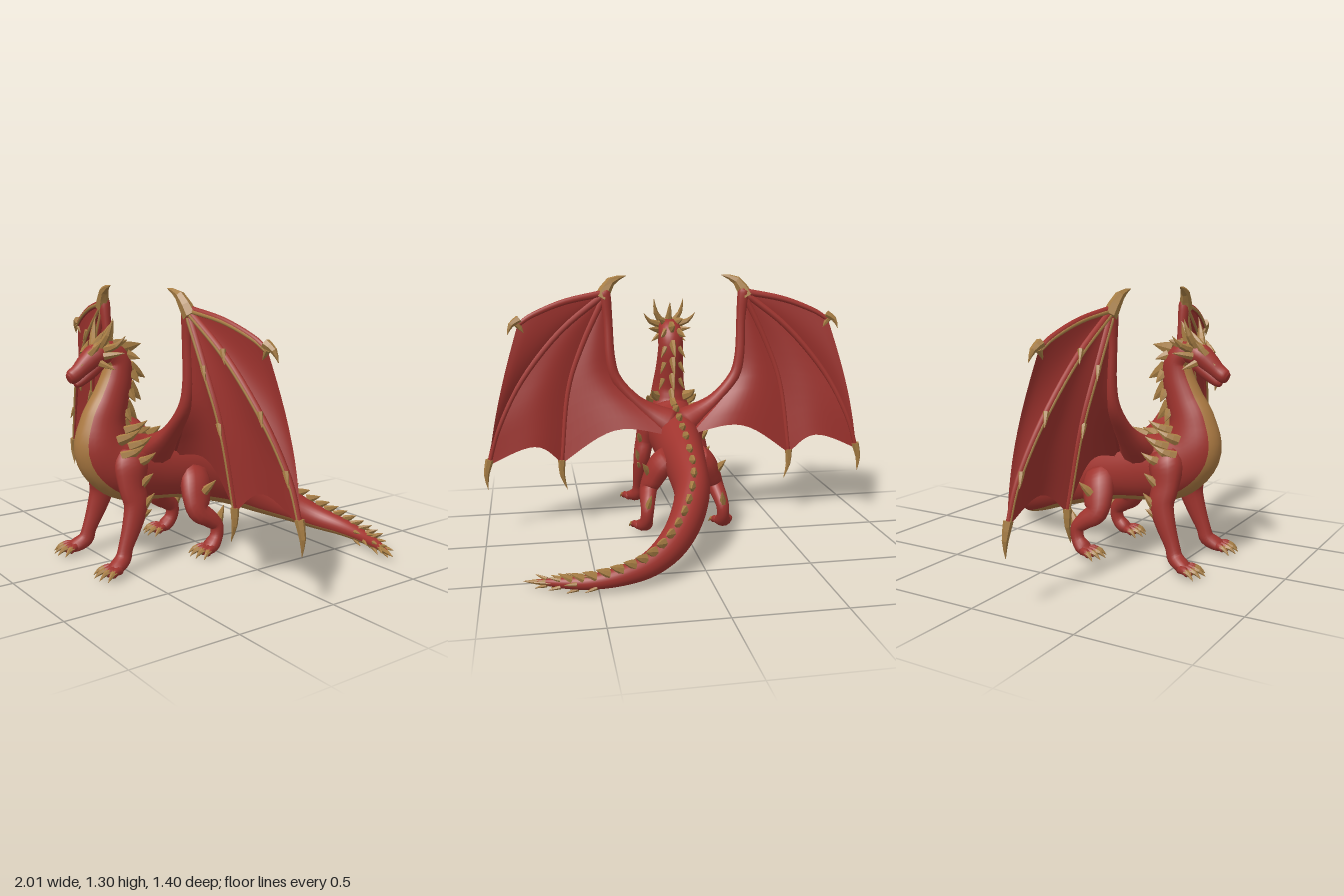
import * as THREE from 'three';
import { mergeGeometries } from 'three/addons/utils/BufferGeometryUtils.js';

const V = (x, y, z) => new THREE.Vector3(x, y, z);
const mat = (name, color, side = THREE.FrontSide) => {
  const m = new THREE.MeshStandardMaterial({ color, side });
  m.name = name;
  return m;
};

// Elliptical loft through stations [x, y, z, halfWidth, halfHeight].
// Faces within `band` segments of the underside go into material group 1.
function loft(stations, { steps = 4, segs = 12, band = 0 } = {}) {
  const path = new THREE.CatmullRomCurve3(stations.map(s => V(s[0], s[1], s[2])), false, 'catmullrom');
  const size = new THREE.CatmullRomCurve3(stations.map(s => V(s[3], s[4], 0)), false, 'catmullrom');
  const n = (stations.length - 1) * steps, frames = [], pos = [], main = [], under = [];
  let side = null;
  for (let i = 0; i <= n; i++) {
    const t = path.getTangent(i / n);
    if (!side) side = Math.abs(t.x) > 0.9 ? V(0, 0, 1) : V(1, 0, 0);
    side = side.clone().addScaledVector(t, -side.dot(t)).normalize();
    const r = size.getPoint(i / n);
    frames.push({ p: path.getPoint(i / n), t, side, up: side.clone().cross(t),
      w: Math.max(r.x, 0.0005), h: Math.max(r.y, 0.0005) });
  }
  const cap = f => ({ ...f, w: 0.0003, h: 0.0003 });
  const rings = [cap(frames[0]), ...frames, cap(frames[n])];
  rings.forEach(f => {
    for (let j = 0; j < segs; j++) {
      const a = j / segs * Math.PI * 2;
      const q = f.p.clone().addScaledVector(f.side, Math.cos(a) * f.w).addScaledVector(f.up, Math.sin(a) * f.h);
      pos.push(q.x, q.y, q.z);
    }
  });
  for (let i = 0; i < rings.length - 1; i++) {
    for (let j = 0; j < segs; j++) {
      const k = (j + 1) % segs, a = i * segs + j, b = i * segs + k;
      const list = Math.abs(j + 0.5 - segs * 0.75) < band ? under : main;
      list.push(a, a + segs, b, b, a + segs, b + segs);
    }
  }
  const g = new THREE.BufferGeometry();
  g.setAttribute('position', new THREE.Float32BufferAttribute(pos, 3));
  g.setIndex([...main, ...under]);
  if (band) {
    g.addGroup(0, main.length, 0);
    g.addGroup(main.length, under.length, 1);
  }
  g.computeVertexNormals();
  g.userData.frames = frames;
  return g;
}

// Hard-edged tapering spike, bowed by `bend` at its middle
function spike(a, b, w, h = w, bend = V(0, 0, 0)) {
  const m = a.clone().lerp(b, 0.5).add(bend);
  const g = loft([[a.x, a.y, a.z, w, h], [m.x, m.y, m.z, w * 0.65, h * 0.65], [b.x, b.y, b.z, 0.001, 0.001]],
    { steps: 2, segs: 6 }).toNonIndexed();
  g.computeVertexNormals();
  return g;
}

// Membrane between two curves that both start at the wrist, with a scalloped free edge
function panel(A, B, scallop, billow) {
  const N = 12, pos = [], idx = [];
  for (let i = 0; i <= N; i++) for (let j = 0; j <= N; j++) {
    const t = j / N, k = Math.sin(Math.PI * t), s = i / N;
    const p = A.getPoint(s).lerp(B.getPoint(s), t);
    p.lerp(A.getPoint(0), scallop * k * s);
    pos.push(p.x, p.y, p.z - billow * k * s);
    if (i < N && j < N) {
      const a = i * (N + 1) + j;
      idx.push(a, a + N + 1, a + 1, a + 1, a + N + 1, a + N + 2);
    }
  }
  const g = new THREE.BufferGeometry();
  g.setAttribute('position', new THREE.Float32BufferAttribute(pos, 3));
  g.setIndex(idx);
  g.computeVertexNormals();
  return g;
}

export function createModel() {
  const root = new THREE.Group();
  root.name = 'dragon';
  const red = mat('scaleRed', 0xa0342e), tan = mat('bellyTan', 0xac7a42);
  const horn = mat('hornGold', 0xa87e44), skin = mat('wingRed', 0x9c322d, THREE.DoubleSide);
  const add = (name, geo, m, parent = root) => {
    const mesh = new THREE.Mesh(geo, m);
    mesh.name = name;
    parent.add(mesh);
  };

  // Neck, torso and tail in one sweep, tan underneath
  const body = loft([
    [0, 0.985, 0.55, 0.05, 0.05], [0, 1.0, 0.49, 0.06, 0.055], [0, 0.955, 0.445, 0.065, 0.062],
    [0, 0.88, 0.45, 0.068, 0.075], [0, 0.78, 0.485, 0.075, 0.09], [0, 0.67, 0.525, 0.09, 0.115],
    [0, 0.55, 0.52, 0.115, 0.15], [0, 0.46, 0.42, 0.135, 0.165], [0, 0.43, 0.28, 0.125, 0.16],
    [0, 0.4, 0.13, 0.115, 0.145], [0, 0.36, -0.02, 0.1, 0.138], [0.01, 0.288, -0.22, 0.086, 0.124],
    [0.07, 0.205, -0.38, 0.078, 0.103], [0.16, 0.135, -0.51, 0.068, 0.08], [0.27, 0.085, -0.595, 0.055, 0.06],
    [0.4, 0.06, -0.643, 0.043, 0.045], [0.54, 0.045, -0.65, 0.033, 0.033],
    [0.66, 0.04, -0.625, 0.022, 0.024], [0.76, 0.04, -0.59, 0.008, 0.008],
  ], { steps: 5, segs: 28, band: 3 });
  add('body', body, [red, tan]);

  // Dorsal spikes, long on the neck, low and swept back along the tail
  const F = body.userData.frames, dorsal = [], tailSpikes = [];
  const fromBody = (f, angle, len, lean, w, h) => {
    const out = f.side.clone().multiplyScalar(Math.cos(angle) * f.w).addScaledVector(f.up, Math.sin(angle) * f.h);
    const a = f.p.clone().addScaledVector(out, 0.92);
    return spike(a, a.clone().addScaledVector(out.normalize(), len).addScaledVector(f.t, len * lean), w, h);
  };
  for (let i = 4; i < 84; i += i < 24 ? 4 : i < 50 ? 3 : 2) {
    const neck = i < 30, k = 1 - 0.45 * i / 84;
    dorsal.push(neck ? fromBody(F[i], Math.PI / 2, 0.09, 0.6, 0.018, 0.036)
      : fromBody(F[i], Math.PI / 2, 0.066 * k, 1.4, 0.026 * k, 0.042 * k));
    if (i < 24) [0.9, Math.PI - 0.9].forEach(a => dorsal.push(fromBody(F[i + 1], a, 0.045, 1, 0.014, 0.026)));
  }
  add('dorsalSpikes', mergeGeometries(dorsal), horn);

  // Spiky tail end
  for (let i = 79; i <= 88; i += 3) for (let k = 0; k < 4; k++)
    tailSpikes.push(fromBody(F[i], k * 1.571 + i * 0.26, 0.017, 3, 0.01, 0.01));
  tailSpikes.push(spike(V(0.7, 0.04, -0.612), V(0.82, 0.035, -0.565), 0.018));
  add('tailSpikes', mergeGeometries(tailSpikes), horn);

  // Head with closed lower jaw and gold crown plate
  add('head', loft([[0, 1.01, 0.5, 0.05, 0.045], [0, 0.995, 0.555, 0.06, 0.052], [0, 0.96, 0.6, 0.05, 0.048],
    [0, 0.922, 0.645, 0.038, 0.038], [0, 0.9, 0.68, 0.033, 0.034], [0, 0.892, 0.697, 0.018, 0.022]], { segs: 14 }), red);
  add('lowerJaw', loft([[0, 0.95, 0.545, 0.042, 0.034], [0, 0.91, 0.595, 0.036, 0.032],
    [0, 0.872, 0.645, 0.026, 0.022], [0, 0.862, 0.665, 0.014, 0.012]]), red);
  add('crown', loft([[0, 1.035, 0.5, 0.04, 0.025], [0, 1.025, 0.55, 0.048, 0.028], [0, 0.99, 0.6, 0.04, 0.024],
    [0, 0.958, 0.63, 0.018, 0.01]]), horn);
  const horns = [spike(V(0, 0.99, 0.61), V(0, 1.04, 0.575), 0.014, 0.02),
    spike(V(0, 1.03, 0.56), V(0, 1.1, 0.51), 0.018, 0.024), spike(V(0, 0.865, 0.64), V(0, 0.832, 0.635), 0.009)];

  for (const s of [1, -1]) {
    const label = s > 0 ? 'left' : 'right';
    const P = (x, y, z) => V(x * s, y, z);
    const L = (pts, opt) => loft(pts.map(p => [p[0] * s, ...p.slice(1)]), opt);
    const group = name => {
      const g = new THREE.Group();
      g.name = label + name;
      root.add(g);
      return g;
    };

    // Horns, cheek spikes and brows
    horns.push(
      spike(P(0.03, 1.03, 0.55), P(0.08, 1.16, 0.51), 0.02, 0.022, P(0.012, -0.01, 0)),
      spike(P(0.045, 1.02, 0.53), P(0.14, 1.085, 0.48), 0.02, 0.02, P(0.012, -0.012, 0)),
      spike(P(0.05, 0.99, 0.54), P(0.115, 1.005, 0.47), 0.018, 0.02),
      spike(P(0.045, 0.96, 0.56), P(0.095, 0.93, 0.51), 0.015, 0.018),
      spike(P(0.033, 0.995, 0.6), P(0.06, 1.055, 0.56), 0.014, 0.022),
      spike(P(0.027, 0.945, 0.64), P(0.045, 0.985, 0.59), 0.01, 0.015));

    // Legs, each with four clawed toes
    const leg = (name, pts, foot, reach, spikes) => {
      const g = group(name), toes = [], claws = spikes.map(q => spike(P(...q[0]), P(...q[1]), 0.018, 0.026));
      add('limb', L(pts), red, g);
      for (let k = 0; k < 4; k++) {
        const dx = -0.06 + k * 0.042, dz = reach - Math.abs(k - 1.4) * 0.02;
        const at = (u, y) => [foot[0] + dx * (0.35 + 0.65 * u), y, foot[1] + dz * u];
        toes.push(L([[...at(0, 0.032), 0.018, 0.02], [...at(0.38, 0.035), 0.017, 0.019], [...at(0.62, 0.025), 0.013, 0.015]], { steps: 3, segs: 8 }));
        claws.push(spike(P(...at(0.48, 0.034)), P(...at(1, 0.006)), 0.016, 0.016, V(0, 0.008, 0)));
      }
      add('toes', mergeGeometries(toes), red, g);
      add('claws', mergeGeometries(claws), horn, g);
    };
    leg('FrontLeg', [[0.1, 0.54, 0.43, 0.05, 0.07], [0.12, 0.48, 0.45, 0.066, 0.085], [0.145, 0.39, 0.46, 0.05, 0.068],
      [0.162, 0.31, 0.45, 0.046, 0.062], [0.17, 0.22, 0.475, 0.04, 0.05], [0.175, 0.12, 0.515, 0.032, 0.036],
      [0.18, 0.065, 0.535, 0.035, 0.038], [0.195, 0.036, 0.585, 0.043, 0.03], [0.2, 0.025, 0.62, 0.03, 0.016]],
      [0.2, 0.575], 0.12, [[[0.18, 0.29, 0.43], [0.205, 0.36, 0.375]], [[0.175, 0.25, 0.44], [0.195, 0.28, 0.385]],
        [[0.17, 0.4, 0.43], [0.195, 0.45, 0.375]]]);
    leg('HindLeg', [[0.075, 0.4, 0.06, 0.045, 0.075], [0.115, 0.35, 0.08, 0.058, 0.085], [0.15, 0.28, 0.1, 0.052, 0.078],
      [0.175, 0.22, 0.105, 0.044, 0.06], [0.188, 0.175, 0.05, 0.038, 0.046], [0.195, 0.135, 0.01, 0.033, 0.036],
      [0.2, 0.08, 0.015, 0.032, 0.034], [0.205, 0.042, 0.05, 0.042, 0.034], [0.21, 0.025, 0.09, 0.03, 0.016]],
      [0.21, 0.06], 0.115, [[[0.195, 0.15, 0], [0.18, 0.225, -0.045]], [[0.18, 0.31, 0.08], [0.215, 0.37, 0.03]]]);

    // Shoulder spikes
    const shoulder = [];
    for (let k = 0; k < 5; k++) {
      const x = 0.075 + k * 0.018, y = 0.635 - k * 0.035, z = 0.45 + (k % 2) * 0.05;
      shoulder.push(spike(P(x, y, z), P(x + 0.04, y + 0.05, z - 0.095), 0.02, 0.03, P(0.012, -0.004, 0)));
    }
    add(label + 'ShoulderSpikes', mergeGeometries(shoulder), horn);

    // Wing: arm, three fingers, membrane, claws
    const wing = group('Wing'), W = [0.36, 1.21, 0.3];
    const fingers = [
      [W, [0.57, 1.17, 0.265], [0.73, 1.11, 0.235], [0.81, 1.06, 0.22]],
      [W, [0.6, 1.02, 0.27], [0.8, 0.78, 0.23], [0.92, 0.55, 0.19], [0.978, 0.36, 0.175]],
      [W, [0.49, 0.94, 0.29], [0.57, 0.7, 0.265], [0.61, 0.34, 0.22]],
    ];
    const trailing = [W, [0.352, 0.98, 0.29], [0.31, 0.74, 0.27], [0.06, 0.48, 0.16]];
    const armLine = [W, [0.352, 0.98, 0.29], [0.31, 0.75, 0.285], [0.06, 0.54, 0.31]];
    const curves = [...fingers, trailing, armLine].map(f => new THREE.CatmullRomCurve3(f.map(q => P(...q))));
    add('membrane', mergeGeometries([panel(curves[0], curves[1], -0.04, 0.02), panel(curves[1], curves[2], 0.11, 0.03),
      panel(curves[2], curves[3], 0.13, 0.03), panel(curves[3], curves[4], 0, 0)]), skin, wing);
    add('arm', L([[0.04, 0.51, 0.28, 0.11, 0.09], [0.13, 0.57, 0.29, 0.085, 0.06], [0.22, 0.645, 0.285, 0.055, 0.036],
      [0.315, 0.76, 0.285, 0.033, 0.03], [0.345, 0.88, 0.285, 0.026, 0.026], [0.352, 1.06, 0.295, 0.022, 0.024],
      [0.365, 1.2, 0.3, 0.028, 0.03], [0.37, 1.225, 0.3, 0.015, 0.015]].map(q => [q[0], q[1], q[2], q[4], q[3]])), red, wing);
    const bones = [], ridges = [], claws = [];
    fingers.forEach((f, k) => {
      const r = i => 0.018 - 0.007 * i / (f.length - 1);
      bones.push(L(f.map((q, i) => [...q, r(i), r(i)]), { steps: 5, segs: 8 }));
      ridges.push(L(f.map((q, i) => [q[0], q[1] - 0.004, q[2] + r(i) * 0.65, r(i) * 0.55, r(i) * 0.55]), { steps: 5, segs: 6 }));
      if (k > 0) f.slice(1, -1).forEach(q => claws.push(spike(P(q[0] - 0.01, q[1] + 0.03, q[2] + 0.01), P(q[0] + 0.02, q[1] - 0.03, q[2] + 0.022), 0.014)));
    });
    add('fingers', mergeGeometries(bones), red, wing);
    add('fingerRidges', mergeGeometries(ridges), horn, wing);
    claws.push(
      spike(P(0.385, 1.18, 0.3), P(0.25, 1.295, 0.33), 0.038, 0.034, P(0.015, 0.028, 0.005)),
      spike(P(0.8, 1.09, 0.225), P(0.86, 1.015, 0.205), 0.022, 0.022, P(0.012, 0.01, 0)),
      spike(P(0.81, 1.065, 0.22), P(0.78, 1.02, 0.22), 0.016),
      spike(P(0.972, 0.39, 0.177), P(0.985, 0.235, 0.17), 0.021, 0.021, P(0.012, 0, 0)),
      spike(P(0.61, 0.36, 0.223), P(0.585, 0.2, 0.222), 0.02, 0.02, P(0.012, 0, 0)));
    add('wingClaws', mergeGeometries(claws), horn, wing);
  }
  add('horns', mergeGeometries(horns), horn);
  return root;
}
